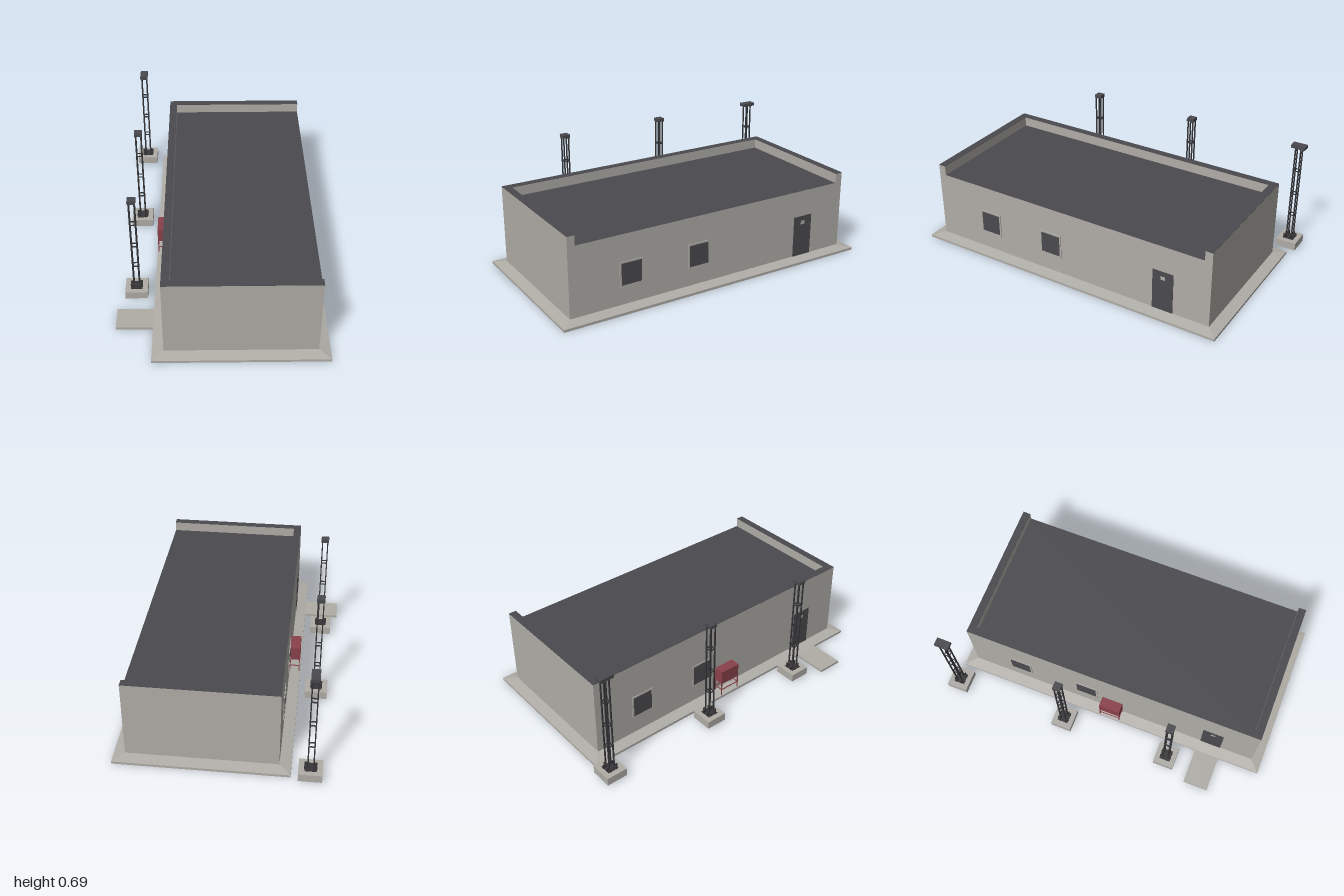
import * as THREE from 'three';

const mat = (name, color, side = THREE.FrontSide) => {
  const m = new THREE.MeshStandardMaterial({ color, side });
  m.name = name;
  return m;
};

export function createModel() {
  const concrete = mat('concrete', 0xb0ada7, THREE.DoubleSide);
  const roofing = mat('dark roofing', 0x4b4a4f, THREE.DoubleSide);
  const steel = mat('dark steel', 0x37373b);
  const red = mat('red paint', 0x8a414b);

  const model = new THREE.Group();
  model.name = 'utilityBuilding';

  const add = (parent, name, geometry, material, x = 0, y = 0, z = 0) => {
    const mesh = new THREE.Mesh(geometry, material);
    mesh.name = name;
    mesh.position.set(x, y, z);
    parent.add(mesh);
    return mesh;
  };
  const box = (parent, name, m, x, y, z, w, h, d) =>
    add(parent, name, new THREE.BoxGeometry(w, h, d), m, x, y, z);
  const group = (name, x, y, z) => {
    const g = new THREE.Group();
    g.name = name;
    g.position.set(x, y, z);
    model.add(g);
    return g;
  };
  // box without its underside, and optionally without its top
  const shell = (w, h, d, top) => {
    const g = new THREE.BoxGeometry(w, h, d);
    const i = Array.from(g.index.array);
    g.setIndex([...i.slice(0, top ? 18 : 12), ...i.slice(24)]);
    g.clearGroups();
    return g;
  };

  // Main dimensions
  const X0 = -0.32, X1 = 0.53, Z0 = -0.9, Z1 = 0.93;
  const W = X1 - X0, D = Z1 - Z0, CX = (X0 + X1) / 2, CZ = (Z0 + Z1) / 2;
  const ROOF = 0.44, TOP = 0.5, T = 0.045;

  // Hollow walls and flat roof
  add(model, 'walls', shell(W, ROOF, D, false), concrete, CX, ROOF / 2, CZ);
  const roof = add(model, 'roof', new THREE.PlaneGeometry(W, D), roofing, CX, ROOF, CZ);
  roof.rotation.x = -Math.PI / 2;

  // Parapet on three sides, open towards +x, with a dark coping
  const u = new THREE.Shape([
    [X1, -Z1], [X1, -Z1 + T], [X0 + T, -Z1 + T], [X0 + T, -Z0 - T],
    [X1, -Z0 - T], [X1, -Z0], [X0, -Z0], [X0, -Z1],
  ].map(([x, y]) => new THREE.Vector2(x, y)));
  const uLayer = (name, m, y, h) => {
    const g = new THREE.ExtrudeGeometry(u, { depth: h, bevelEnabled: false });
    g.rotateX(-Math.PI / 2);
    add(model, name, g, m, 0, y, 0);
  };
  uLayer('parapet', concrete, ROOF, TOP - ROOF - 0.002);
  uLayer('parapetCoping', roofing, TOP - 0.002, 0.002);

  // Sloping apron: rectangular rings lofted around the walls
  const rings = [[0.065, 0], [0.065, 0.015], [0, 0.028], [0, 0]];
  const pos = [], idx = [];
  rings.forEach(([o, y]) => {
    pos.push(X0 - o, y, Z1 + o, X1 + o, y, Z1 + o, X1 + o, y, Z0 - o, X0 - o, y, Z0 - o);
  });
  for (let r = 0; r < 4; r++) {
    for (let k = 0; k < 4; k++) {
      const n = (k + 1) % 4, s = (r + 1) % 4;
      const a = r * 4 + k, b = r * 4 + n, c = s * 4 + n, d = s * 4 + k;
      idx.push(a, b, c, a, c, d);
    }
  }
  let apron = new THREE.BufferGeometry();
  apron.setAttribute('position', new THREE.Float32BufferAttribute(pos, 3));
  apron.setIndex(idx);
  apron = apron.toNonIndexed();
  apron.computeVertexNormals();
  add(model, 'apron', apron, concrete);
  box(model, 'doorSlab', concrete, -0.49, 0.0075, 0.665, 0.21, 0.015, 0.15);

  // Windows and doors, seen from both sides of the thin walls
  const frameShape = (w, h, t) => {
    const s = new THREE.Shape();
    s.moveTo(-w / 2, -h / 2).lineTo(w / 2, -h / 2).lineTo(w / 2, h / 2).lineTo(-w / 2, h / 2);
    const hole = new THREE.Path();
    const a = w / 2 - t, b = h / 2 - t;
    hole.moveTo(-a, -b).lineTo(-a, b).lineTo(a, b).lineTo(a, -b);
    s.holes.push(hole);
    const g = new THREE.ExtrudeGeometry(s, { depth: 0.008, bevelEnabled: false });
    g.translate(0, 0, -0.004);
    return g.rotateY(Math.PI / 2);
  };
  const windowAt = (x, z) => {
    const g = group('window', x, 0.207, z);
    add(g, 'windowFrame', frameShape(0.145, 0.15, 0.01), concrete);
    box(g, 'windowPane', roofing, 0, 0, 0, 0.005, 0.13, 0.125);
  };
  const doorAt = (x, z) => {
    const g = group('door', x, 0.154, z);
    box(g, 'doorLeaf', roofing, 0, 0, 0, 0.006, 0.252, 0.128);
    box(g, 'doorPlate', concrete, 0, 0.085, 0, 0.008, 0.022, 0.028);
  };
  [0.557, 0.125].forEach((z) => windowAt(X1, z));
  [-0.583, -0.15].forEach((z) => windowAt(X0, z));
  doorAt(X1, -0.613);
  doorAt(X0, 0.665);

  // Lattice masts on concrete footings
  const mastAt = (z, capDepth) => {
    const g = group('mast', -0.49, 0, z);
    add(g, 'footing', shell(0.13, 0.047, 0.125, true), concrete, 0, 0.0365, 0);
    box(g, 'anchorPlate', steel, 0, 0.0595, 0, 0.066, 0.005, 0.066);
    box(g, 'cap', roofing, 0, 0.678, 0, 0.047, 0.02, capDepth);
    for (const sx of [-1, 1]) {
      for (const sz of [-1, 1]) {
        const x = sx * 0.016, zz = sz * 0.016;
        box(g, 'leg', steel, x, 0.365, zz, 0.007, 0.61, 0.007);
        box(g, 'gusset', steel, x + sx * 0.009, 0.07, zz, 0.02, 0.022, 0.005);
        box(g, 'gusset', steel, x, 0.07, zz + sz * 0.009, 0.005, 0.022, 0.02);
      }
      for (const y of [0.22, 0.365, 0.52]) {
        box(g, 'rung', steel, 0, y, sx * 0.016, 0.032, 0.006, 0.005);
        box(g, 'rung', steel, sx * 0.016, y, 0, 0.005, 0.006, 0.032);
      }
    }
  };
  mastAt(-0.938, 0.085);
  mastAt(-0.235, 0.046);
  mastAt(0.437, 0.046);

  // Red cabinet on a braced stand
  const cab = group('cabinet', -0.35, 0, 0.02);
  box(cab, 'cabinetBody', red, 0, 0.143, 0, 0.06, 0.085, 0.13);
  for (const s of [-1, 1]) {
    for (const t of [-1, 1]) box(cab, 'standLeg', red, s * 0.0275, 0.058, t * 0.0625, 0.005, 0.086, 0.005);
    box(cab, 'standBrace', red, 0, 0.055, s * 0.0625, 0.055, 0.005, 0.004);
    box(cab, 'standBrace', red, s * 0.0275, 0.055, 0, 0.004, 0.005, 0.125);
  }

  return model;
}
